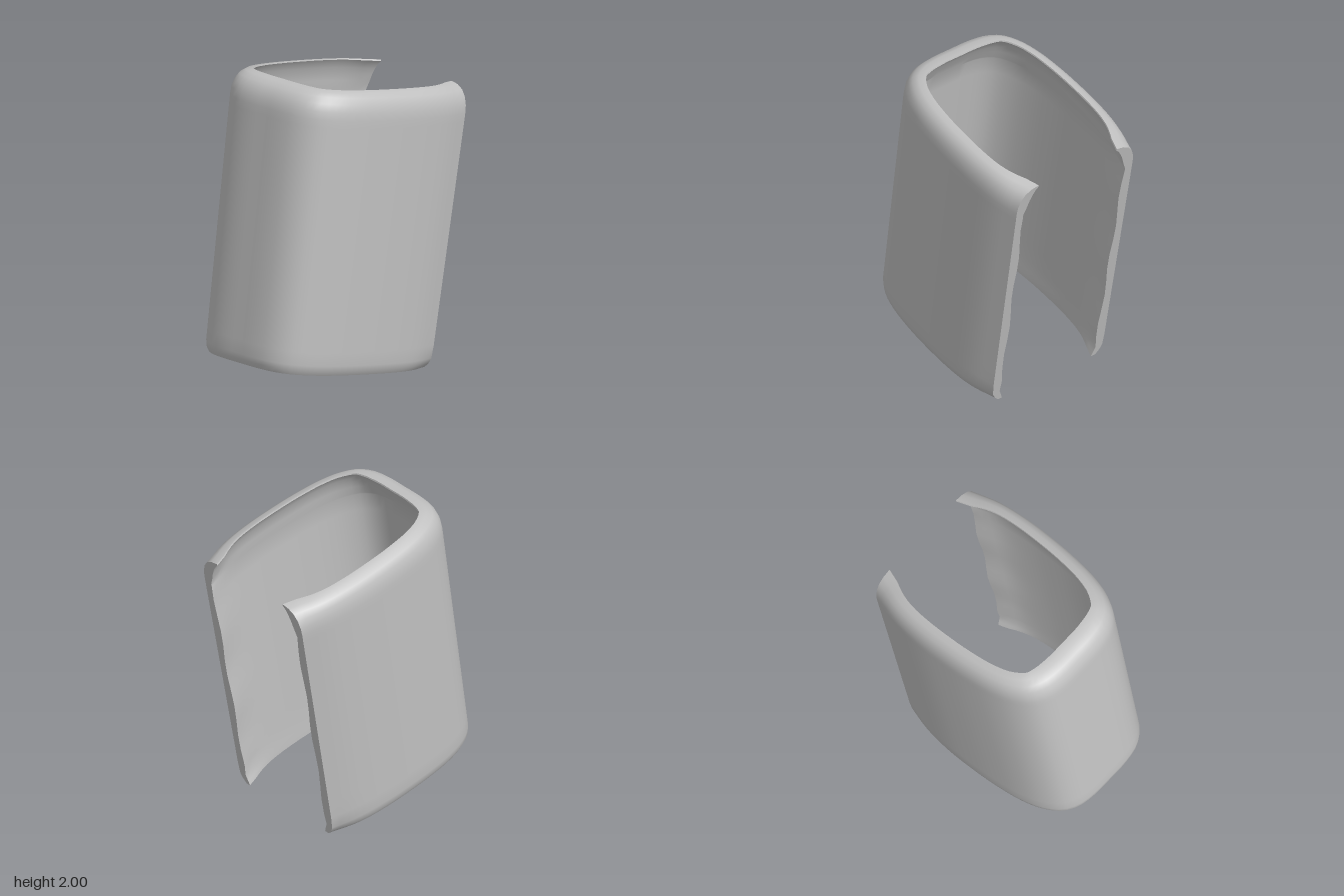
import * as THREE from 'three';
import { toCreasedNormals } from 'three/addons/utils/BufferGeometryUtils.js';

const HEIGHT = 1.815, TILT = THREE.MathUtils.degToRad(10);

// Half of the U-shaped plan, from the open back edge to the middle of the front: [x, depth]
const HALF = [[.465, 0], [.51, .18], [.532, .4], [.534, .6], [.525, .8], [.5, 1], [.455, 1.15],
  [.38, 1.265], [.28, 1.325], [.15, 1.348], [0, 1.35]];

// Wall section as matching outer and inner rows: [outer inset, outer height, inner inset, inner height]
function wallRows() {
  const rows = [[.024, 0, .056, 0], [.006, .03, .056, .03], [0, .065, .054, .07]];
  for (let v = .15; v < 1.6; v += .12) rows.push([0, v, .052, v]);
  rows.push([0, 1.64, .055, 1.6], [.004, 1.69, .062, 1.66], [.018, 1.74, .075, 1.71],
    [.042, 1.78, .09, 1.75], [.078, 1.805, .106, 1.783], [.122, HEIGHT, .125, 1.806]);
  return rows;
}

function shellGeometry() {
  const plan = HALF.concat(HALF.slice(0, -1).reverse().map(([x, u]) => [-x, u]));
  const curve = new THREE.CatmullRomCurve3(plan.map(([x, u]) => new THREE.Vector3(x, 0, u)));
  const rows = wallRows(), R = rows.length, N = 64;
  const loop = [...rows.map(r => [r[0], r[1], 0]), ...rows.map(r => [r[2], r[3], 1]).reverse()];
  const M = loop.length, pos = [], idx = [];

  for (let i = 0; i <= N; i++) {
    const p = curve.getPointAt(i / N), t = curve.getTangentAt(i / N);
    let nx = -t.z, nu = t.x;                              // inward normal
    if (i === 0 || i === N) { nx = -Math.sign(p.x); nu = 0; }
    const back = Math.max(0, 1 - p.z / .35) ** 2;
    const lip = .92 + .34 * Math.max(back, p.z > .8 ? nu * nu : 0);
    for (const [inset, v, inner] of loop) {
      let d = inset * (v > 1.62 ? lip : 1);
      if (v < .08) d += .028 * back * (1 - v / .08);      // lower back corners curl in
      if (inner && v > .1 && v < 1.6)                    // uneven inner back edge
        d += back * (.009 + .009 * Math.sin(v * 11 + Math.sign(p.x)));
      const s = 1 - v / HEIGHT;                          // slight flare towards the top
      const x = p.x * (1 - .055 * s) + nx * d, u = p.z * (1 - .04 * s) + nu * d;
      pos.push(x, u * Math.sin(TILT) + v * Math.cos(TILT),
        -.48 + u * Math.cos(TILT) - v * Math.sin(TILT));
    }
  }
  // Walls and rims
  for (let i = 0; i < N; i++) for (let j = 0; j < M; j++) {
    const a = i * M + j, b = i * M + (j + 1) % M, c = a + M, d = b + M;
    idx.push(a, b, c, b, d, c);
  }
  // Cut faces along the open back
  for (let j = 0; j < R - 1; j++) {
    const o = j, o1 = j + 1, n = M - 1 - j, n1 = n - 1, e = N * M;
    idx.push(o, n, o1, n, n1, o1);
    idx.push(e + o, e + o1, e + n, e + n, e + o1, e + n1);
  }
  const geo = new THREE.BufferGeometry();
  geo.setAttribute('position', new THREE.Float32BufferAttribute(pos, 3));
  geo.setIndex(idx);
  return toCreasedNormals(geo, .7);
}

export function createModel() {
  const group = new THREE.Group();
  group.name = 'openSleeve';
  const grey = new THREE.MeshStandardMaterial({ color: 0xc0c0c0 });
  grey.name = 'light grey';
  const shell = new THREE.Mesh(shellGeometry(), grey);
  shell.name = 'curvedShell';
  group.add(shell);
  return group;
}
